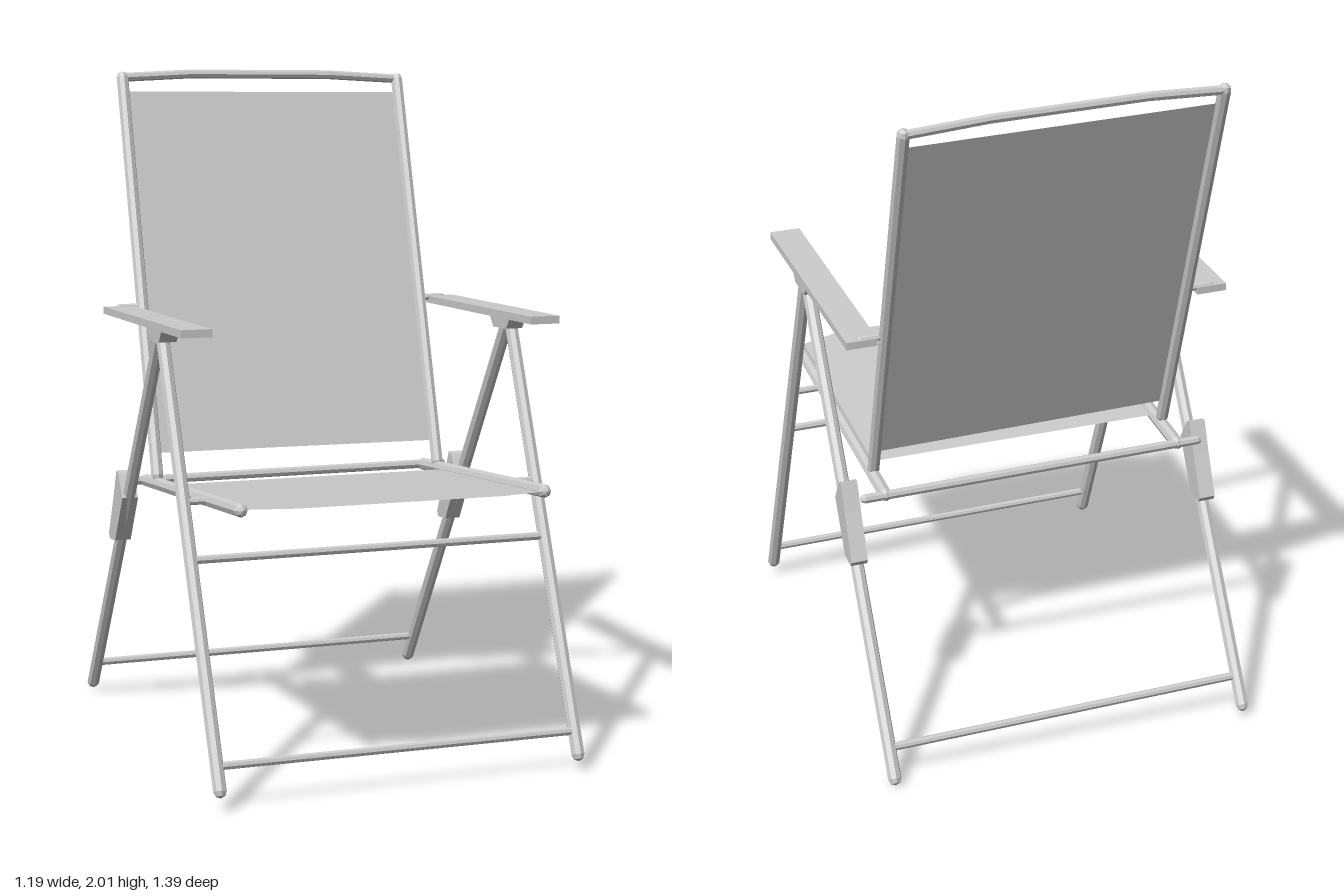
import * as THREE from 'three';

const metal = new THREE.MeshStandardMaterial({ color: 0xcccccc, flatShading: true });
const cloth = new THREE.MeshStandardMaterial({ color: 0xcccccc, side: THREE.DoubleSide });
const UP = new THREE.Vector3(0, 1, 0);

// the whole chair leans very slightly to one side
const lean = (x, y, z) => new THREE.Vector3(x - 0.003 - 0.019 * z, y - 0.011 * x, z);
// seat and backrest sit a little off centre inside the legs
const seatPoint = (x, y, z) => lean(x - 0.009, y, z);
const backPoint = (x, y, z) => lean(x - 0.01 + 0.023 * (y - 0.785), y - 0.008 * x, z);

// round bar with domed ends between two points
function bar(name, a, b, r) {
  const mesh = new THREE.Mesh(new THREE.CapsuleGeometry(r, a.distanceTo(b), 2, 8), metal);
  mesh.name = name;
  mesh.position.copy(a).add(b).multiplyScalar(0.5);
  mesh.quaternion.setFromUnitVectors(UP, b.clone().sub(a).normalize());
  return mesh;
}

// plate with a side profile of [z, y] corners, extruded across x
function plate(name, profile, x, width) {
  const shape = new THREE.Shape(profile.map(([z, y]) => new THREE.Vector2(z, y)));
  const geo = new THREE.ExtrudeGeometry(shape, { depth: width, bevelEnabled: false });
  geo.rotateY(-Math.PI / 2).translate(x + width / 2, 0, 0);
  const p = geo.attributes.position;
  for (let i = 0; i < p.count; i++) {
    const v = lean(p.getX(i), p.getY(i), p.getZ(i));
    p.setXYZ(i, v.x, v.y, v.z);
  }
  geo.computeVertexNormals();
  const mesh = new THREE.Mesh(geo, metal);
  mesh.name = name;
  return mesh;
}

// flat cloth panel, fanned from its first corner
function panel(name, corners) {
  const geo = new THREE.BufferGeometry().setFromPoints(corners);
  const index = [];
  for (let i = 1; i < corners.length - 1; i++) index.push(0, i, i + 1);
  geo.setIndex(index);
  geo.computeVertexNormals();
  const mesh = new THREE.Mesh(geo, cloth);
  mesh.name = name;
  return mesh;
}

export function createModel() {
  const chair = new THREE.Group();
  chair.name = 'foldingChair';

  for (const s of [1, -1]) {
    const side = new THREE.Group();
    side.name = s > 0 ? 'leftSide' : 'rightSide';
    const lx = s * 0.555;
    side.add(
      // crossing legs
      bar('frontLeg', lean(lx, 0.05, 0.675), lean(lx, 1.25, 0.16), 0.02),
      bar('rearLeg', lean(lx, 0.024, -0.675), lean(lx, 1.25, 0.12), 0.02),
      // seat and backrest side rails
      bar('seatRail', seatPoint(s * 0.465, 0.835, 0.63), seatPoint(s * 0.465, 0.752, -0.305), 0.02),
      bar('backRail', backPoint(s * 0.465, 0.785, -0.185), backPoint(s * 0.465, 1.975, -0.62), 0.019),
      // pivot pins
      bar('seatPivot', lean(s * 0.46, 0.812, 0.352), lean(lx, 0.812, 0.352), 0.011),
      bar('armrestPivot', lean(s * 0.465, 1.285, -0.365), lean(s * 0.54, 1.285, -0.365), 0.011),
      // armrest and its mount
      plate('armrest', [[0.44, 1.295], [0.44, 1.318], [-0.38, 1.288], [-0.38, 1.266]], s * 0.539, 0.092),
      plate('armrestMount', [[0.22, 1.29], [0.19, 1.25], [0.095, 1.245], [0.06, 1.285]], s * 0.55, 0.054),
      // hinge cover wrapped round the rear leg
      plate('hingeCover',
        [[-0.205, 0.72], [-0.25, 0.79], [-0.27, 0.795], [-0.305, 0.71], [-0.365, 0.58], [-0.355, 0.565], [-0.295, 0.57]],
        s * 0.556, 0.05),
    );
    chair.add(side);
  }

  // bars across the legs and the seat frame
  const cross = (name, x, y, z, r, point) => chair.add(bar(name, point(-x, y, z), point(x, y, z), r));
  cross('frontLowerBar', 0.55, 0.115, 0.65, 0.012, lean);
  cross('frontUpperBar', 0.55, 0.655, 0.418, 0.012, lean);
  cross('rearLowerBar', 0.55, 0.1, -0.627, 0.012, lean);
  cross('seatRearBar', 0.53, 0.752, -0.31, 0.014, seatPoint);

  // gently arched top bar of the backrest
  const arch = [[-0.465, 1.975], [-0.24, 1.987], [0.22, 1.987], [0.465, 1.975]]
    .map(([x, y]) => backPoint(x, y, -0.622));
  for (let i = 0; i < 3; i++) chair.add(bar('backTopBar', arch[i], arch[i + 1], 0.014));

  // cloth panels
  chair.add(
    panel('backPanel', [
      backPoint(-0.46, 0.85, -0.209), backPoint(0.46, 0.85, -0.209),
      backPoint(0.46, 1.932, -0.604), backPoint(-0.46, 1.932, -0.604),
    ]),
    panel('seatPanel', [
      [-0.46, -0.122], [-0.46, 0.63], [-0.31, 0.68], [0.31, 0.68], [0.46, 0.63], [0.46, -0.122],
    ].map(([x, z]) => seatPoint(x, 0.779 + 0.0888 * z, z + 0.015 * x))),
  );
  return chair;
}
